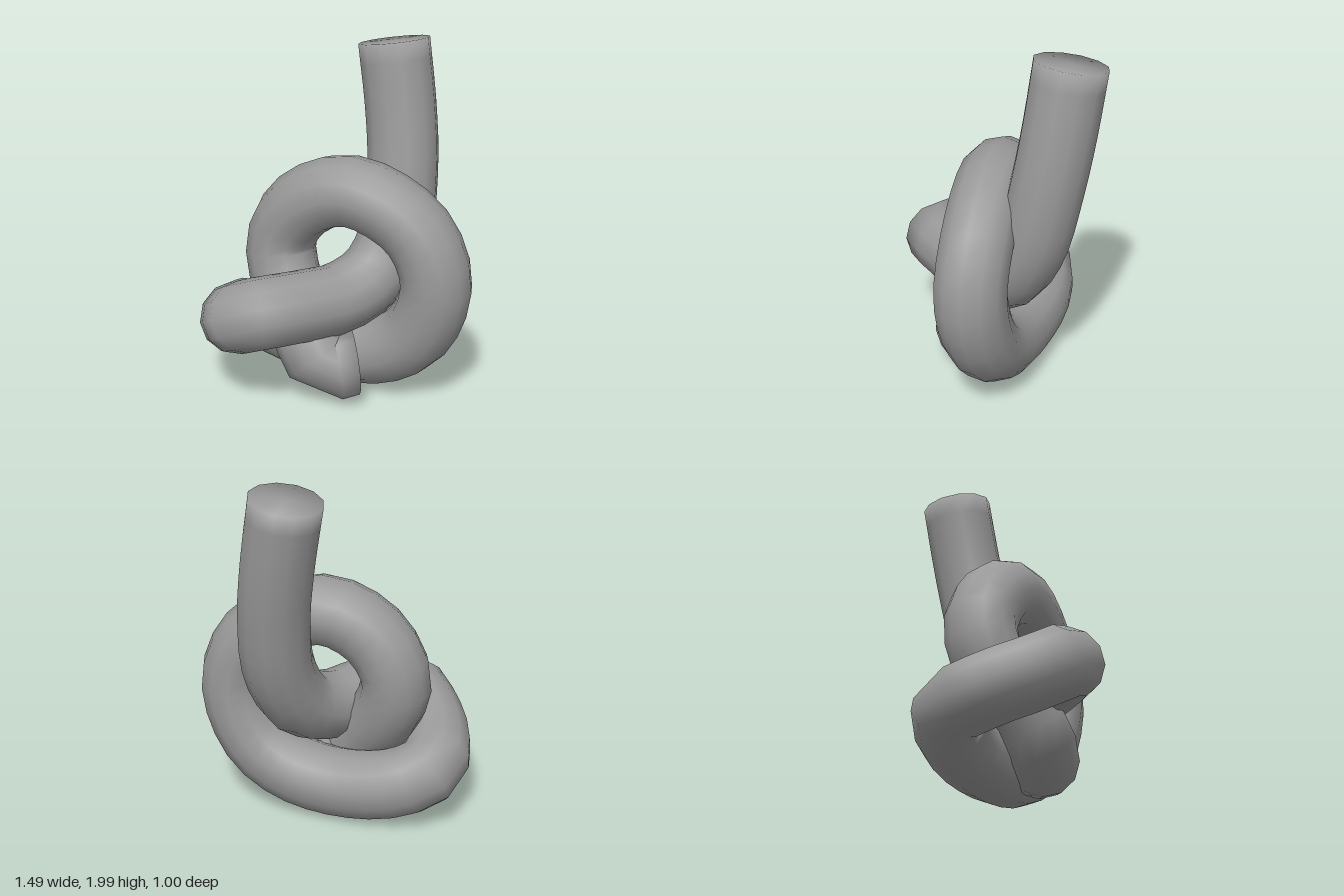
import * as THREE from 'three';
import { mergeVertices } from 'three/addons/utils/BufferGeometryUtils.js';

const RADIUS = 0.2, SIDES = 12, STEPS = 60;

// Centreline of the knotted rope, from the upper end to the lower end
const PATH = [
  [0.37, 1.965, -0.27], [0.405, 1.6, -0.205], [0.413, 1.3, -0.145], [0.375, 0.95, -0.07],
  [0.24, 0.7, 0.02], [0.04, 0.605, 0.12], [-0.18, 0.605, 0.215], [-0.47, 0.6, 0.295],
  [-0.545, 0.49, 0.1], [-0.52, 0.4, -0.14], [-0.42, 0.335, -0.3], [-0.23, 0.25, -0.255],
  [0.05, 0.207, -0.07], [0.3, 0.27, 0.1], [0.465, 0.43, 0.22], [0.545, 0.76, 0.292],
  [0.425, 1.05, 0.228], [0.1, 1.215, 0.07], [-0.15, 1.1, -0.07], [-0.27, 0.87, -0.145],
  [-0.25, 0.64, -0.08], [-0.16, 0.42, 0.09], [-0.055, 0.235, 0.2], [0.11, 0.25, 0.19],
];

// Tube closed by a fan at each end, with normals blended over the rims
function cappedTube(curve) {
  const tube = new THREE.TubeGeometry(curve, STEPS, RADIUS, SIDES, false);
  const positions = Array.from(tube.attributes.position.array);
  const index = Array.from(tube.index.array);
  for (const end of [0, 1]) {
    const centre = positions.length / 3;
    positions.push(...curve.getPointAt(end).toArray());
    const ring = end * STEPS * (SIDES + 1);
    for (let j = ring; j < ring + SIDES; j++) {
      if (end) index.push(centre, j + 1, j);
      else index.push(centre, j, j + 1);
    }
  }
  const geometry = new THREE.BufferGeometry();
  geometry.setAttribute('position', new THREE.Float32BufferAttribute(positions, 3));
  geometry.setIndex(index);
  const welded = mergeVertices(geometry, 1e-4);
  welded.computeVertexNormals();
  return welded;
}

export function createModel() {
  const group = new THREE.Group();
  group.name = 'knot';
  const curve = new THREE.CatmullRomCurve3(PATH.map((p) => new THREE.Vector3(...p)));
  const rope = new THREE.Mesh(cappedTube(curve), new THREE.MeshStandardMaterial({ color: 0x999999 }));
  rope.name = 'knottedRope';
  group.add(rope);
  return group;
}
